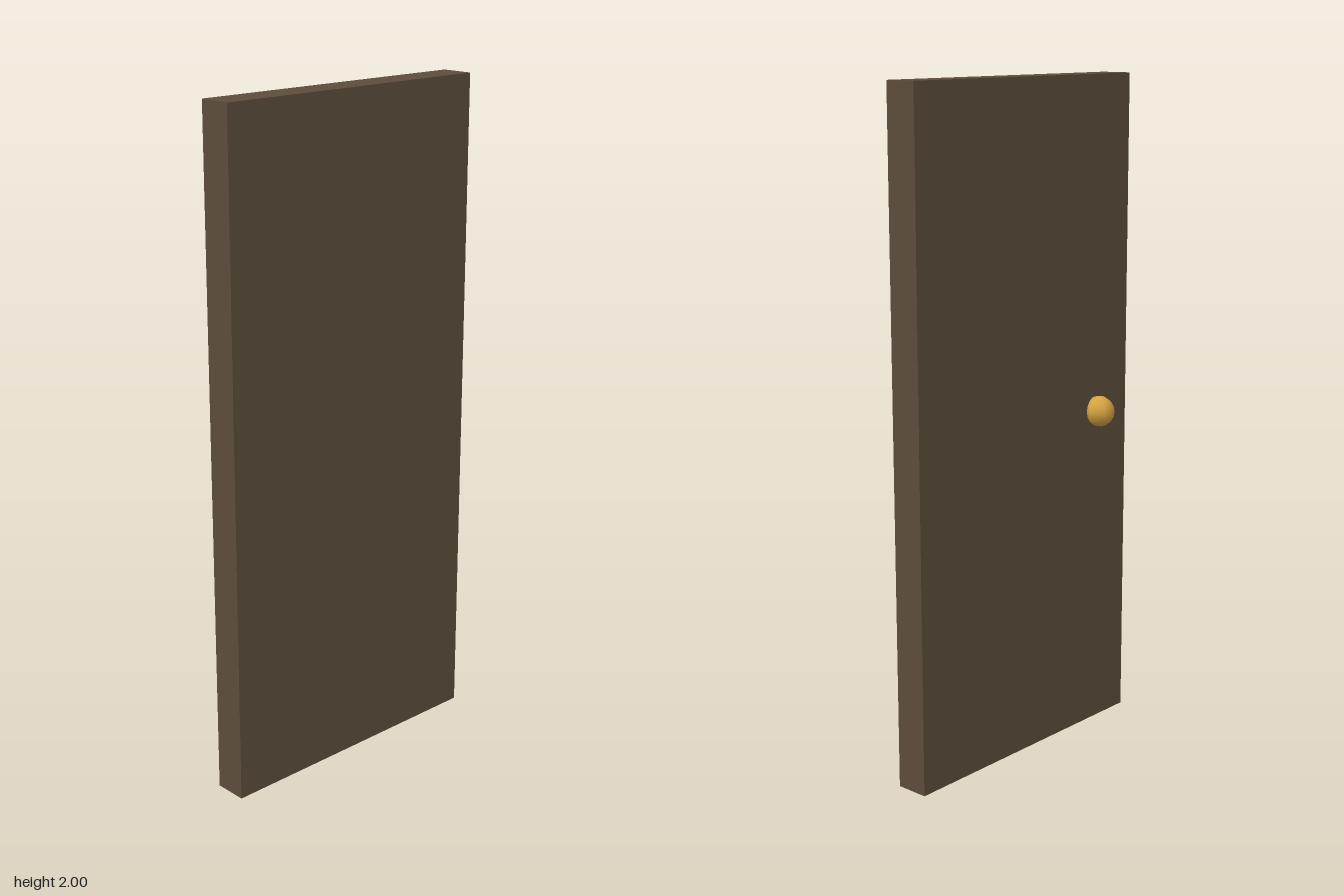
import * as THREE from 'three';

export function createModel() {
  const group = new THREE.Group();
  const wood = new THREE.MeshStandardMaterial({ color: 0x5c4d3c });
  wood.name = 'dark wood';
  const core = new THREE.MeshStandardMaterial({ color: 0xcccccc });
  core.name = 'pale core';
  const brass = new THREE.MeshStandardMaterial({ color: 0xd4a343 });
  brass.name = 'brass';

  // Slab, with the pale core showing on the underside
  // (face order: +x, -x, +y, -y, +z, -z)
  const door = new THREE.Mesh(
    new THREE.BoxGeometry(0.1, 2, 0.9),
    [wood, wood, wood, core, wood, wood]
  );
  door.name = 'doorSlab';
  door.position.set(0.03, 1, 0);
  group.add(door);

  // Six-sided knob, corners pointing along z, partly sunk into the slab
  const knob = new THREE.Mesh(new THREE.SphereGeometry(0.047, 6, 8), brass);
  knob.name = 'doorKnob';
  knob.rotation.y = Math.PI / 2;
  knob.position.set(-0.04, 1, 0.3);
  group.add(knob);

  return group;
}
